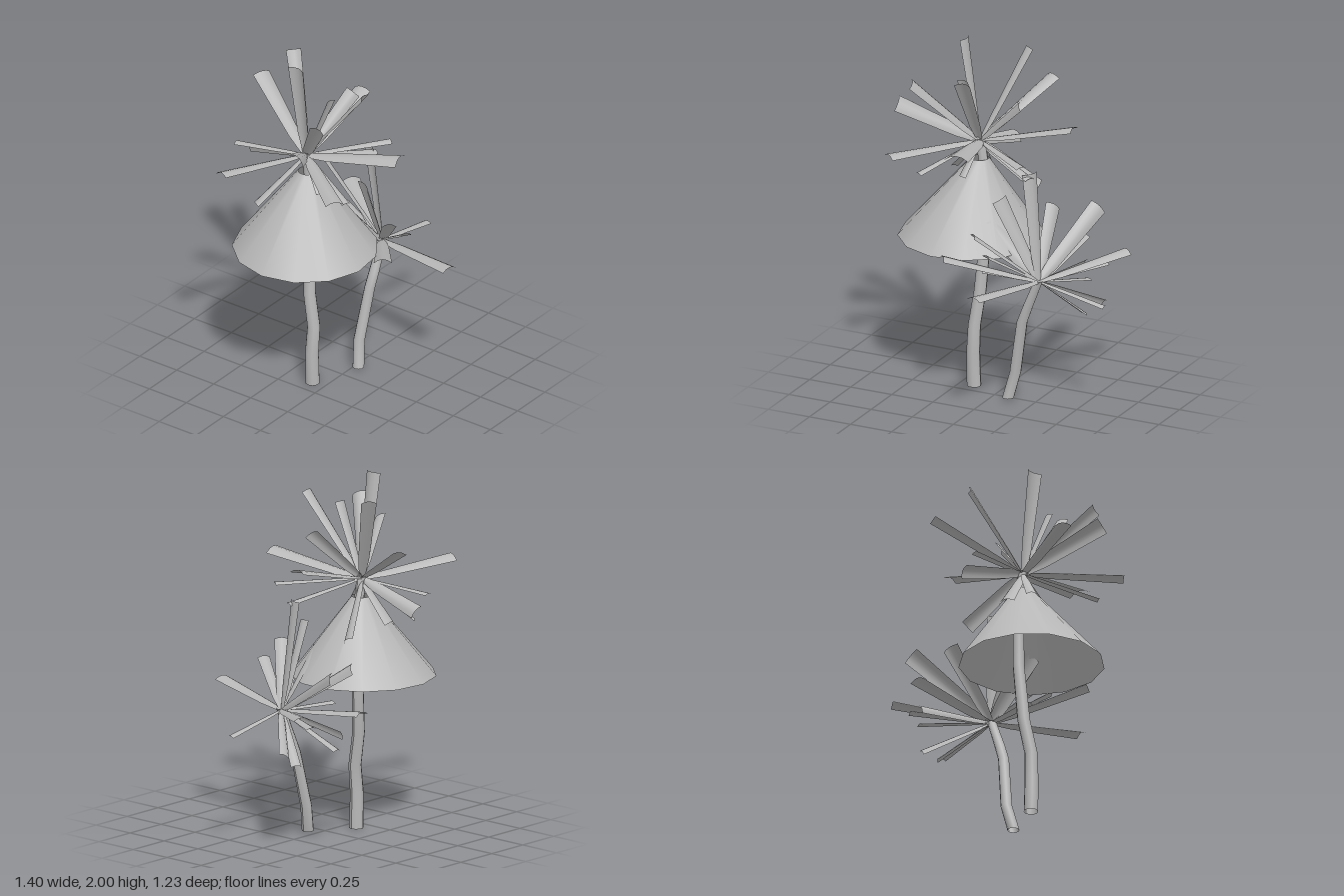
import * as THREE from 'three';

const grey = new THREE.MeshStandardMaterial({ color: 0xb8b8b8, side: THREE.DoubleSide });
grey.name = 'plain grey';

function add(parent, name, geometry) {
  const mesh = new THREE.Mesh(geometry, grey);
  mesh.name = name;
  parent.add(mesh);
}

// Grid of points (rows of equal length) turned into a smooth surface
function loft(rows) {
  const n = rows[0].length, index = [];
  for (let i = 0; i < rows.length - 1; i++)
    for (let j = 0; j < n - 1; j++) {
      const a = i * n + j;
      index.push(a, a + 1, a + n, a + 1, a + n + 1, a + n);
    }
  const g = new THREE.BufferGeometry();
  g.setAttribute('position', new THREE.Float32BufferAttribute(rows.flat().flatMap(p => p.toArray()), 3));
  g.setIndex(index);
  g.computeVertexNormals();
  return g;
}

// Bent trunk: [x, y, z, radius] rings, level ends
function trunk(rings) {
  const rows = rings.map(([x, y, z, r]) => Array.from({ length: 11 }, (_, j) => {
    const a = -j / 10 * Math.PI * 2;
    return new THREE.Vector3(x + r * Math.cos(a), y, z + r * Math.sin(a));
  }));
  return loft(rows);
}

// Arched leaf strip with drooping edges, narrow at the base, rolled about its length
function leaf(base, tip, width, roll) {
  const b = new THREE.Vector3(...base), t = new THREE.Vector3(...tip);
  const dir = t.clone().sub(b).normalize();
  const side = dir.clone().cross(new THREE.Vector3(0, 1, 0)).normalize().applyAxisAngle(dir, -roll);
  const up = side.clone().cross(dir);
  const rows = [[0, 0.35], [0.25, 0.7], [1, 1]].map(([s, k]) =>
    [-1, -0.5, 0, 0.5, 1].map(u => b.clone().lerp(t, s)
      .addScaledVector(side, u * k * width / 2)
      .addScaledVector(up, (0.4 - u * u) * k * width * 0.2)));
  return loft(rows);
}

function crown(name, base, tips) {
  const g = new THREE.Group();
  g.name = name;
  for (const [x, y, z, w = 0.085, roll = 0] of tips) add(g, 'leaf', leaf(base, [x, y, z], w, roll));
  return g;
}

export function createModel() {
  const model = new THREE.Group();
  model.name = 'twoPalms';

  // Trunks
  add(model, 'tallTrunk', trunk([
    [-0.165, 0.005, -0.08, 0.04], [-0.17, 0.2, -0.08, 0.038], [-0.16, 0.36, -0.075, 0.036],
    [-0.145, 0.55, -0.115, 0.035], [-0.12, 0.88, -0.13, 0.032], [-0.12, 1.2, -0.13, 0.03],
    [-0.15, 1.43, -0.13, 0.025]]));
  add(model, 'shortTrunk', trunk([
    [0.10, 0.02, 0.035, 0.033], [0.135, 0.17, 0.015, 0.032], [0.19, 0.48, 0.045, 0.03],
    [0.225, 0.57, 0.05, 0.029], [0.295, 0.74, 0.055, 0.025]]));

  // Open hanging skirt under the tall crown, its top shifted off centre
  const skirt = new THREE.CylinderGeometry(0.05, 0.4, 0.45, 13, 1, true, -Math.PI / 2);
  const p = skirt.attributes.position;
  for (let i = 0; i < p.count; i++)
    if (p.getY(i) > 0) p.setXYZ(i, p.getX(i) + 0.045, p.getY(i), p.getZ(i) - 0.02);
  skirt.translate(-0.197, 1.095, -0.105);
  add(model, 'skirt', skirt);

  // Leaves: tip position, then optional width and roll
  model.add(crown('tallCrown', [-0.155, 1.42, -0.13], [
    [-0.68, 1.48, -0.32, 0.1, -0.2], [-0.54, 1.65, 0.10, 0.1, 0.8], [-0.49, 1.42, 0.31, 0.1],
    [-0.43, 1.80, 0.15, 0.085, 0.6], [-0.33, 1.33, 0.27, 0.05], [-0.40, 1.17, -0.29, 0.06],
    [-0.23, 1.39, -0.55, 0.05], [-0.13, 1.31, -0.55, 0.085, -0.8], [0.06, 1.68, -0.59, 0.1],
    [0.03, 1.92, -0.35], [0.40, 1.57, -0.16, 0.1], [0.24, 1.42, 0.15, 0.06],
    [-0.03, 1.52, 0.41, 0.14], [0.24, 1.32, 0.05, 0.06], [0.14, 1.71, -0.03, 0.085, -0.8],
    [-0.24, 2.0, -0.13, 0.1], [-0.17, 1.82, 0.04, 0.07], [-0.09, 1.87, 0.21, 0.09],
    [0.13, 1.15, -0.28, 0.085, -0.8], [-0.2, 1.19, -0.3, 0.1], [-0.2, 1.24, 0.0, 0.05]]));
  model.add(crown('shortCrown', [0.295, 0.735, 0.05], [
    [0.70, 0.66, 0.06, 0.05], [0.61, 0.82, -0.39, 0.1], [0.56, 0.57, -0.22, 0.075, 0.7],
    [0.27, 0.81, -0.52, 0.1], [0.34, 0.69, -0.43, 0.07, 1.0], [0.42, 1.03, -0.43, 0.1, -0.9],
    [0.50, 0.74, -0.36, 0.06], [0.36, 0.60, -0.42, 0.05], [0.45, 0.49, -0.2, 0.06],
    [0.18, 1.02, -0.36, 0.09, -0.7], [0.17, 0.80, 0.60, 0.095], [-0.13, 0.91, 0.37, 0.1],
    [0.12, 0.95, 0.34, 0.07], [0.02, 1.04, 0.30, 0.08], [0.0, 1.04, 0.07, 0.11, 0.7],
    [-0.06, 0.72, 0.0, 0.06], [0.23, 1.34, 0.02, 0.1], [0.08, 1.19, 0.09, 0.1, 0.6]]));
  return model;
}
